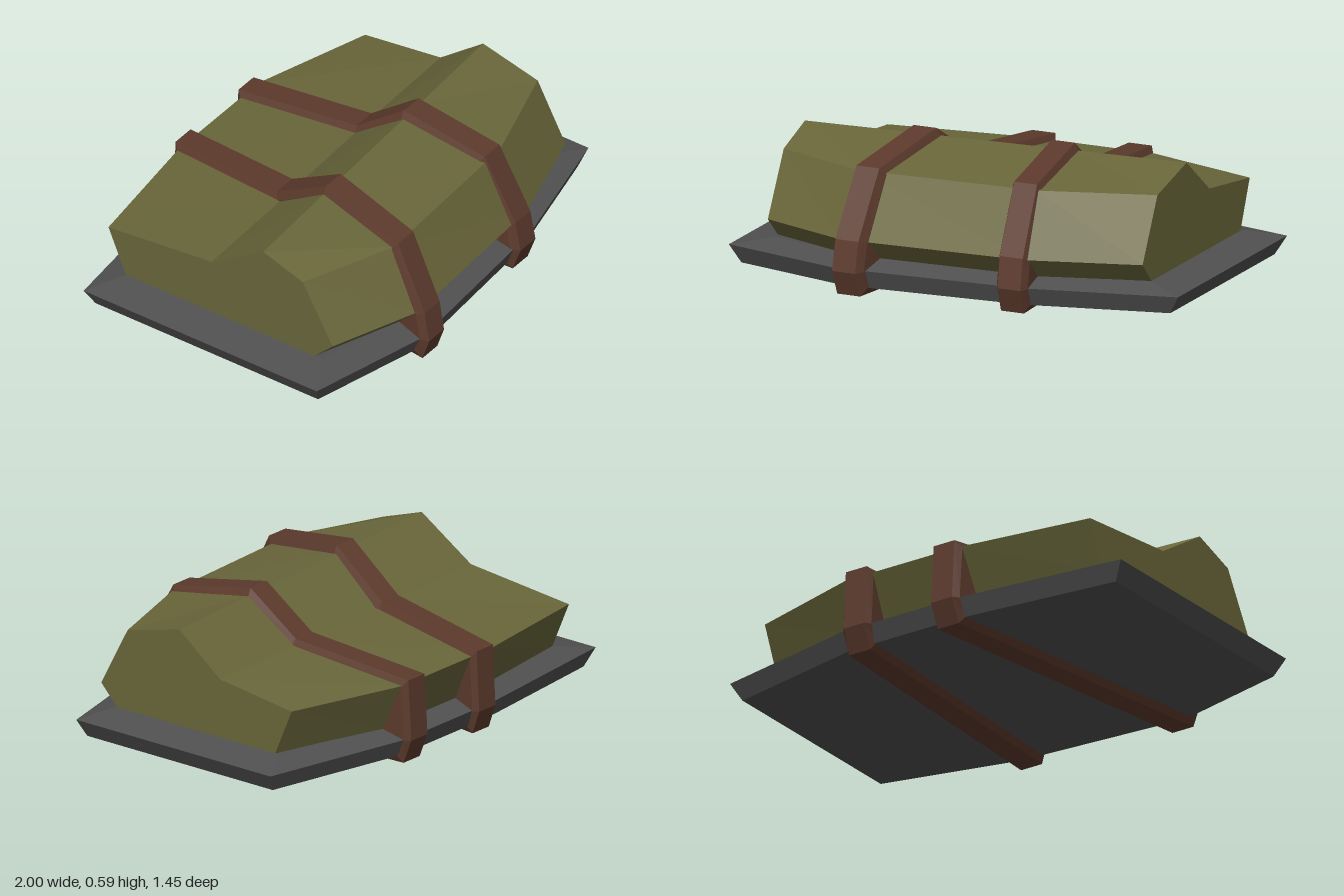
import * as THREE from 'three';

const material = (color) => new THREE.MeshStandardMaterial({ color, flatShading: true, roughness: 1 });
const V = (x, y, z) => new THREE.Vector3(x, y, z);

// Flat-shaded skin over matching rings, closed by a fan at each end.
function loft(name, rings, mat) {
  const pos = [];
  const tri = (...pts) => pts.forEach((p) => pos.push(p.x, p.y, p.z));
  const centre = (ring) => ring.reduce((s, p) => s.add(p), V(0, 0, 0)).divideScalar(ring.length);
  const n = rings[0].length;
  const first = rings[0], last = rings[rings.length - 1];
  const c0 = centre(first), c1 = centre(last);
  for (let i = 0; i < n; i++) {
    const j = (i + 1) % n;
    for (let k = 0; k < rings.length - 1; k++) {
      const a = rings[k], b = rings[k + 1];
      tri(a[i], a[j], b[j]);
      tri(a[i], b[j], b[i]);
    }
    tri(c0, first[j], first[i]);
    tri(c1, last[i], last[j]);
  }
  const geo = new THREE.BufferGeometry();
  geo.setAttribute('position', new THREE.Float32BufferAttribute(pos, 3));
  geo.computeVertexNormals();
  const mesh = new THREE.Mesh(geo, mat);
  mesh.name = name;
  return mesh;
}

// x on a line running from back (z = -0.7) to front (z = 0.7)
const slant = (back, front) => (z) => THREE.MathUtils.lerp(back, front, (z + 0.7) / 1.4);

// Base: eight-sided slab with an undercut rim and a gently sloped top
function makeBase(mat) {
  const outline = [[1, 0.48], [1, -0.55], [0.33, -0.7], [-0.24, -0.7],
    [-1, -0.62], [-1, 0.555], [-0.45, 0.69], [0.38, 0.63]];
  const ring = (s, y) => outline.map(([x, z]) => V(x * s, y, z * s));
  return loft('baseSlab', [ring(0.955, 0.03), ring(1, 0.108), ring(0.84, 0.137)], mat);
}

// Bundle: four cross-sections from right end to left end, back to front in each
function makeBundle(mat) {
  const heights = [0.13, 0.34, 0.39, 0.555, 0.487, 0.225, 0.13];
  const sections = [
    { x: () => -0.84, z: [-0.52, -0.61, -0.09, 0.17, 0.37, 0.52, 0.42] },
    { x: slant(-0.24, -0.45), z: [-0.595, -0.69, -0.107, 0.14, 0.53, 0.665, 0.57] },
    { x: slant(0.32, 0.38), z: [-0.595, -0.69, -0.137, 0.095, 0.49, 0.62, 0.525] },
    { x: () => 0.84, z: [-0.44, -0.53, -0.15, 0.065, 0.34, 0.48, 0.39] },
  ];
  return loft('clothBundle', sections.map((s) => s.z.map((z, i) => V(s.x(z), heights[i], z))), mat);
}

// Strap: bevelled band drawn tight around bundle and base
function makeStrap(name, backX, frontX, frontZ, ridgeZ, mat) {
  const outer = [[-0.685, 0], [-0.725, 0.105], [-0.71, 0.365], [-0.135, 0.417], [ridgeZ, 0.587],
    [frontZ - 0.175, 0.512], [frontZ - 0.025, 0.235], [frontZ, 0.105], [frontZ - 0.038, 0]];
  const inset = [[0.025, 0.035], [0.025, 0], [0.025, -0.032], [0.01, -0.032], [0, -0.037],
    [-0.022, -0.032], [-0.036, -0.012], [-0.036, 0], [-0.03, 0.035]];
  const inner = outer.map(([z, y], i) => [z + inset[i][0], y + inset[i][1]]);
  const lineX = slant(backX, frontX);
  const ring = (profile, w) => profile.map(([z, y]) => V(lineX(z) + w, y, z));
  return loft(name, [ring(inner, -0.07), ring(outer, -0.052), ring(outer, 0.052), ring(inner, 0.07)], mat);
}

export function createModel() {
  const group = new THREE.Group();
  group.name = 'strappedBundle';
  const leather = material(0x5c3a2c);
  group.add(
    makeBase(material(0x505050)),
    makeBundle(material(0x69663a)),
    makeStrap('rightStrap', -0.182, -0.395, 0.725, 0.14, leather),
    makeStrap('leftStrap', 0.258, 0.324, 0.665, 0.095, leather),
  );
  return group;
}
